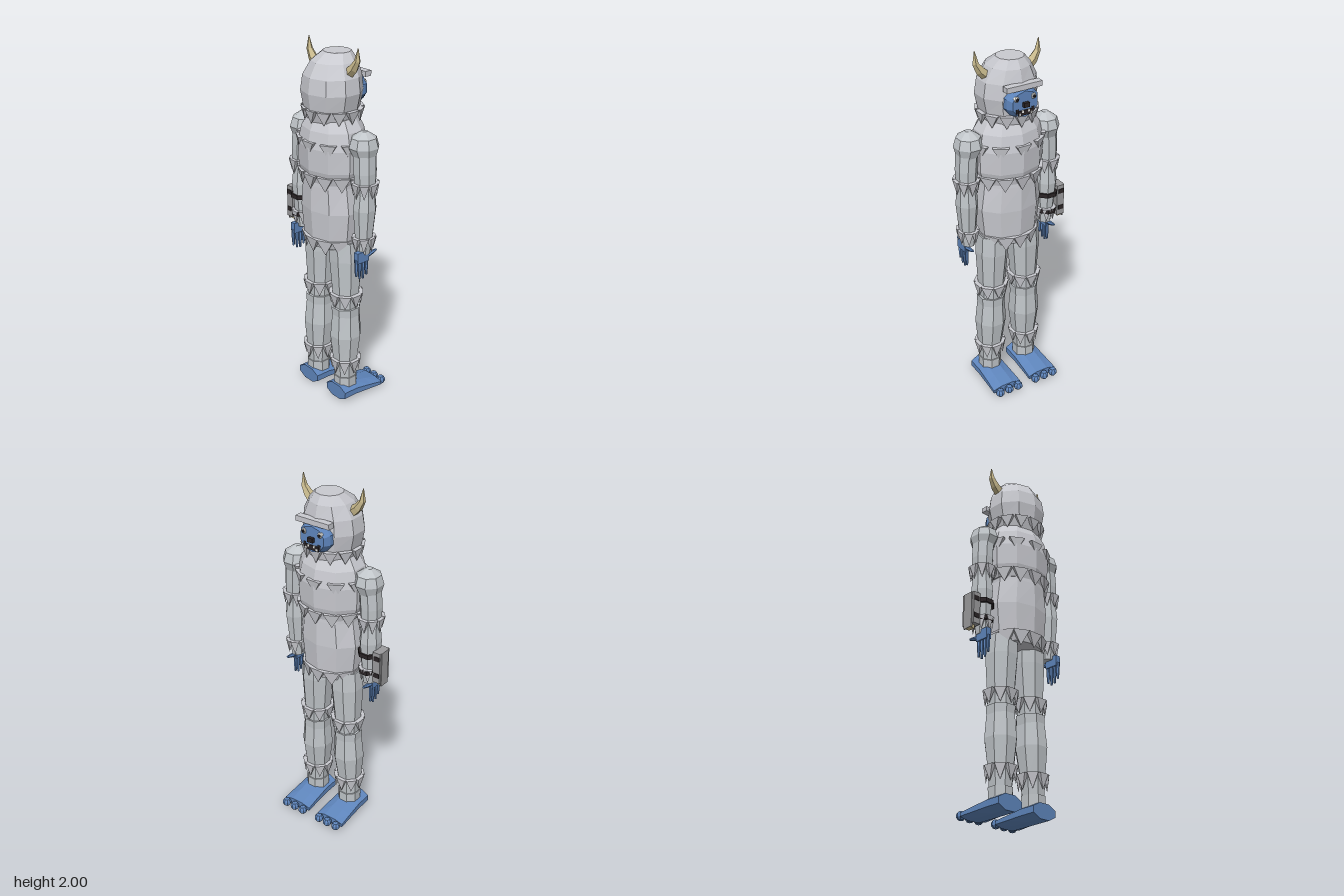
import * as THREE from 'three';

const CX = 0.011; // body axis; the arm pack shifts it off centre
const V = (x, y, z) => new THREE.Vector3(x, y, z);
const mat = (name, color) => {
  const m = new THREE.MeshStandardMaterial({ color });
  m.name = name;
  return m;
};

// Ring of n points round c in the plane of u and v
function ring(n, c, u, v, turn = 0) {
  return Array.from({ length: n }, (_, i) => {
    const a = (i + turn) / n * Math.PI * 2;
    return c.clone().addScaledVector(u, Math.cos(a)).addScaledVector(v, Math.sin(a));
  });
}

// Faceted, capped skin over a list of rings
function loft(rings) {
  const n = rings[0].length, p = [];
  const tri = (...t) => t.forEach(q => p.push(q.x, q.y, q.z));
  const mid = r => r.reduce((s, q) => s.add(q), V(0, 0, 0)).divideScalar(n);
  const first = rings[0], last = rings[rings.length - 1], c0 = mid(first), c1 = mid(last);
  for (let i = 0; i < n; i++) {
    const j = (i + 1) % n;
    for (let k = 0; k < rings.length - 1; k++) {
      const a = rings[k], b = rings[k + 1];
      tri(a[i], b[i], a[j]);
      tri(a[j], b[i], b[j]);
    }
    tri(c0, first[i], first[j]);
    tri(c1, last[j], last[i]);
  }
  const g = new THREE.BufferGeometry();
  g.setAttribute('position', new THREE.Float32BufferAttribute(p, 3));
  g.computeVertexNormals();
  return g;
}

// Upright body from rows of [y, rx, rz, z, x], bottom to top
const column = (n, rows, turn = 0) => loft(rows.map(([y, rx, rz, z = 0, x = 0]) =>
  ring(n, V(x, y, z), V(rx, 0, 0), V(0, 0, rz), turn)));

// Forward body from rows of [z, halfWidth, halfHeight, y], back to front
const forward = (n, rows, turn = 0) => loft(rows.map(([z, w, h, y]) =>
  ring(n, V(0, y, z), V(w, 0, 0), V(0, h, 0), turn)));

export function createModel() {
  const fur = mat('pale fur', 0xc9cad0);
  const limbFur = mat('limb fur', 0xc1c6ca);
  const skin = mat('blue skin', 0x5f86bd);
  const horn = mat('horn', 0xc8b98c);
  const dark = mat('dark', 0x2a2426);
  const white = mat('white', 0xe6e6e2);
  const metal = mat('pack grey', 0x9b9b9d);

  const model = new THREE.Group();
  const body = new THREE.Group();
  body.name = 'body';
  body.position.x = CX;
  model.add(body);

  const add = (parent, name, geo, m, x = 0, y = 0, z = 0) => {
    const mesh = new THREE.Mesh(geo, m);
    mesh.name = name;
    mesh.position.set(x, y, z);
    parent.add(mesh);
    return mesh;
  };
  const box = (parent, name, m, w, h, d, x, y, z) =>
    add(parent, name, new THREE.BoxGeometry(w, h, d), m, x, y, z);
  const ball = (parent, name, m, r, x, y, z, w = 8, h = 5) =>
    add(parent, name, new THREE.SphereGeometry(r, w, h).toNonIndexed(), m, x, y, z)
      .geometry.computeVertexNormals();

  // Row of downward fur tufts round an oval
  function tufts(parent, name, n, top, h, rx, rz, x, z, w, d, turn = 0) {
    const g = new THREE.Group();
    g.name = name;
    const geo = new THREE.ConeGeometry(Math.SQRT1_2, 1, 4, 1).toNonIndexed();
    geo.rotateY(Math.PI / 4);
    geo.rotateX(Math.PI);
    geo.computeVertexNormals();
    for (let i = 0; i < n; i++) {
      const a = (i + turn) / n * Math.PI * 2;
      const t = add(g, 'tuft', geo, fur, x + rx * Math.sin(a), top - h / 2, z + rz * Math.cos(a));
      t.scale.set(w, h, d);
      t.rotation.y = Math.atan2(Math.sin(a) / rx, Math.cos(a) / rz);
    }
    parent.add(g);
  }

  // Torso
  add(body, 'lowerTorso', column(10, [
    [0.92, 0.15, 0.125, 0.03], [0.97, 0.172, 0.138, 0.03], [1.13, 0.19, 0.148, 0.03],
    [1.27, 0.17, 0.145, 0.03], [1.33, 0.17, 0.14, 0.03]], 0.5), fur);
  add(body, 'upperTorso', column(10, [
    [1.29, 0.175, 0.145, 0.028], [1.36, 0.198, 0.163, 0.028], [1.48, 0.202, 0.168, 0.028],
    [1.57, 0.18, 0.15, 0.028], [1.63, 0.14, 0.12, 0.028]], 0.5), fur);
  tufts(body, 'chestTufts', 10, 1.515, 0.075, 0.195, 0.16, 0, 0.028, 0.085, 0.025);
  tufts(body, 'waistTufts', 12, 1.335, 0.08, 0.182, 0.152, 0, 0.028, 0.085, 0.03);
  tufts(body, 'hipTufts', 12, 0.975, 0.085, 0.155, 0.135, 0, 0.03, 0.09, 0.03);
  tufts(body, 'collarTufts', 12, 1.675, 0.07, 0.15, 0.142, 0, 0.028, 0.07, 0.03);

  // Head
  add(body, 'head', column(10, [
    [1.6, 0.13, 0.125, 0.03], [1.68, 0.15, 0.145, 0.033], [1.76, 0.168, 0.156, 0.033],
    [1.84, 0.156, 0.148, 0.03], [1.91, 0.117, 0.12, 0.018], [1.955, 0.074, 0.073, -0.002]], 0.5), fur);

  // Face, looking along -z
  const face = new THREE.Group();
  face.name = 'face';
  body.add(face);
  add(face, 'facePlate', forward(10, [
    [-0.06, 0.1, 0.09, 1.75], [-0.115, 0.095, 0.085, 1.75], [-0.145, 0.075, 0.068, 1.745]], 0.5), skin);
  box(face, 'brow', fur, 0.205, 0.028, 0.04, 0, 1.832, -0.123);
  box(face, 'nose', dark, 0.032, 0.024, 0.02, 0, 1.745, -0.153);
  box(face, 'mouth', dark, 0.085, 0.026, 0.012, 0, 1.702, -0.145);
  for (const s of [-1, 1]) {
    ball(face, 'eye', white, 0.017, s * 0.049, 1.778, -0.138);
    ball(face, 'pupil', dark, 0.009, s * 0.049, 1.778, -0.15);
    box(face, 'mouthCorner', dark, 0.016, 0.024, 0.01, s * 0.045, 1.712, -0.142);
    box(face, 'upperTooth', white, 0.01, 0.012, 0.008, s * 0.018, 1.71, -0.149);
    box(face, 'lowerTooth', white, 0.01, 0.013, 0.008, s * 0.034, 1.697, -0.149);
  }

  for (const s of [-1, 1]) {
    const side = s > 0 ? 'left' : 'right';

    // Horn bending from outward to upright
    const z = V(0, 0, 1);
    add(body, side + 'Horn', loft([
      [0.115, 1.86, 0.03, 0.9, 0.6], [0.155, 1.895, 0.025, 0.7, 0.8],
      [0.18, 1.935, 0.017, 0.2, 1], [0.185, 2, 0.002, 0, 1]].map(([x, y, r, dx, dy]) => {
      const d = V(s * dx, dy, 0).normalize();
      return ring(5, V(s * x, y, 0.025), d.cross(z).multiplyScalar(r), V(0, 0, r));
    })), horn);

    // Arm
    const arm = new THREE.Group();
    arm.name = side + 'Arm';
    body.add(arm);
    add(arm, 'shoulder', column(8, [
      [1.46, 0.058, 0.062, 0.022, s * 0.238], [1.51, 0.077, 0.083, 0.022, s * 0.232],
      [1.56, 0.064, 0.068, 0.022, s * 0.231], [1.592, 0.018, 0.018, 0.022, s * 0.231]], 0.5), limbFur);
    add(arm, 'upperArm', column(8, [
      [1.26, 0.052, 0.056, 0.025, s * 0.247], [1.38, 0.058, 0.064, 0.025, s * 0.246],
      [1.48, 0.058, 0.064, 0.023, s * 0.24]], 0.5), limbFur);
    add(arm, 'forearm', column(8, [
      [0.93, 0.036, 0.04, 0.03, s * 0.243], [1.02, 0.045, 0.05, 0.028, s * 0.245],
      [1.18, 0.058, 0.066, 0.026, s * 0.247], [1.28, 0.05, 0.055, 0.025, s * 0.247]], 0.5), limbFur);
    tufts(arm, 'elbowTufts', 8, 1.325, 0.08, 0.056, 0.062, s * 0.247, 0.025, 0.048, 0.026);
    tufts(arm, 'wristTufts', 7, 1.025, 0.08, 0.046, 0.054, s * 0.245, 0.028, 0.045, 0.024);

    // Hand with four fingers and a forward thumb
    box(arm, 'palm', skin, 0.03, 0.06, 0.08, s * 0.258, 0.92, 0.055);
    for (let i = 0; i < 4; i++) {
      const len = [0.095, 0.11, 0.105, 0.085][i];
      add(arm, 'finger', column(6, [
        [0.9 - len, 0.006, 0.006], [0.905 - len * 0.5, 0.01, 0.01], [0.91, 0.01, 0.01]]),
        skin, s * 0.258, 0, 0.02 + i * 0.024);
    }
    const thumb = add(arm, 'thumb', column(6, [
      [-0.035, 0.013, 0.013], [0.01, 0.011, 0.011], [0.04, 0.006, 0.006]]), skin, s * 0.258, 0.92, -0.01);
    thumb.rotation.x = -Math.PI / 2 + 0.2;

    // Leg
    const leg = new THREE.Group();
    leg.name = side + 'Leg';
    body.add(leg);
    add(leg, 'thigh', column(8, [
      [0.55, 0.068, 0.072, 0.025, s * 0.106], [0.68, 0.078, 0.08, 0.024, s * 0.104],
      [0.85, 0.09, 0.093, 0.023, s * 0.1], [0.96, 0.086, 0.092, 0.025, s * 0.096]], 0.5), limbFur);
    add(leg, 'knee', column(8, [
      [0.505, 0.076, 0.08, 0.027, s * 0.108], [0.565, 0.08, 0.084, 0.027, s * 0.107]], 0.5), limbFur);
    add(leg, 'shin', column(8, [
      [0.13, 0.06, 0.062, 0.035, s * 0.115], [0.22, 0.068, 0.068, 0.035, s * 0.113],
      [0.39, 0.087, 0.09, 0.03, s * 0.11], [0.53, 0.075, 0.08, 0.027, s * 0.108]], 0.5), limbFur);
    add(leg, 'ankle', column(8, [
      [0.06, 0.064, 0.066, 0.035, s * 0.115], [0.135, 0.066, 0.068, 0.035, s * 0.115]], 0.5), limbFur);
    tufts(leg, 'kneeTufts', 8, 0.65, 0.08, 0.08, 0.08, s * 0.106, 0.025, 0.065, 0.025);
    tufts(leg, 'ankleTufts', 8, 0.245, 0.085, 0.073, 0.073, s * 0.113, 0.034, 0.058, 0.025);

    // Foot with three round toes
    const foot = new THREE.Group();
    foot.name = side + 'Foot';
    foot.position.x = s * 0.119;
    body.add(foot);
    add(foot, 'sole', forward(8, [
      [0.11, 0.085, 0.045, 0.049], [0.02, 0.085, 0.045, 0.047],
      [-0.08, 0.09, 0.034, 0.035], [-0.16, 0.095, 0.023, 0.025]], 0.5), skin);
    for (const t of [-1, 0, 1]) ball(foot, 'toe', skin, 0.026, t * 0.0595, 0.027, -0.183);
  }

  // Pack strapped to the outside of the right forearm
  const pack = new THREE.Group();
  pack.name = 'forearmPack';
  model.add(pack);
  box(pack, 'case', metal, 0.045, 0.18, 0.086, -0.305, 1.055, 0.023);
  box(pack, 'casePlate', metal, 0.008, 0.2, 0.06, -0.328, 1.045, 0.023);
  box(pack, 'clip', horn, 0.028, 0.035, 0.04, -0.315, 0.962, 0.023);
  for (const y of [1.11, 1.01]) {
    box(pack, 'caseBand', dark, 0.034, 0.026, 0.092, -0.308, y, 0.023);
    add(pack, 'armStrap', column(8, [
      [y - 0.012, 0.067, 0.07], [y + 0.012, 0.067, 0.07]], 0.5), dark, CX - 0.247, 0, 0.026)
      .scale.setX(y > 1.05 ? 1 : 0.85);
  }
  return model;
}
